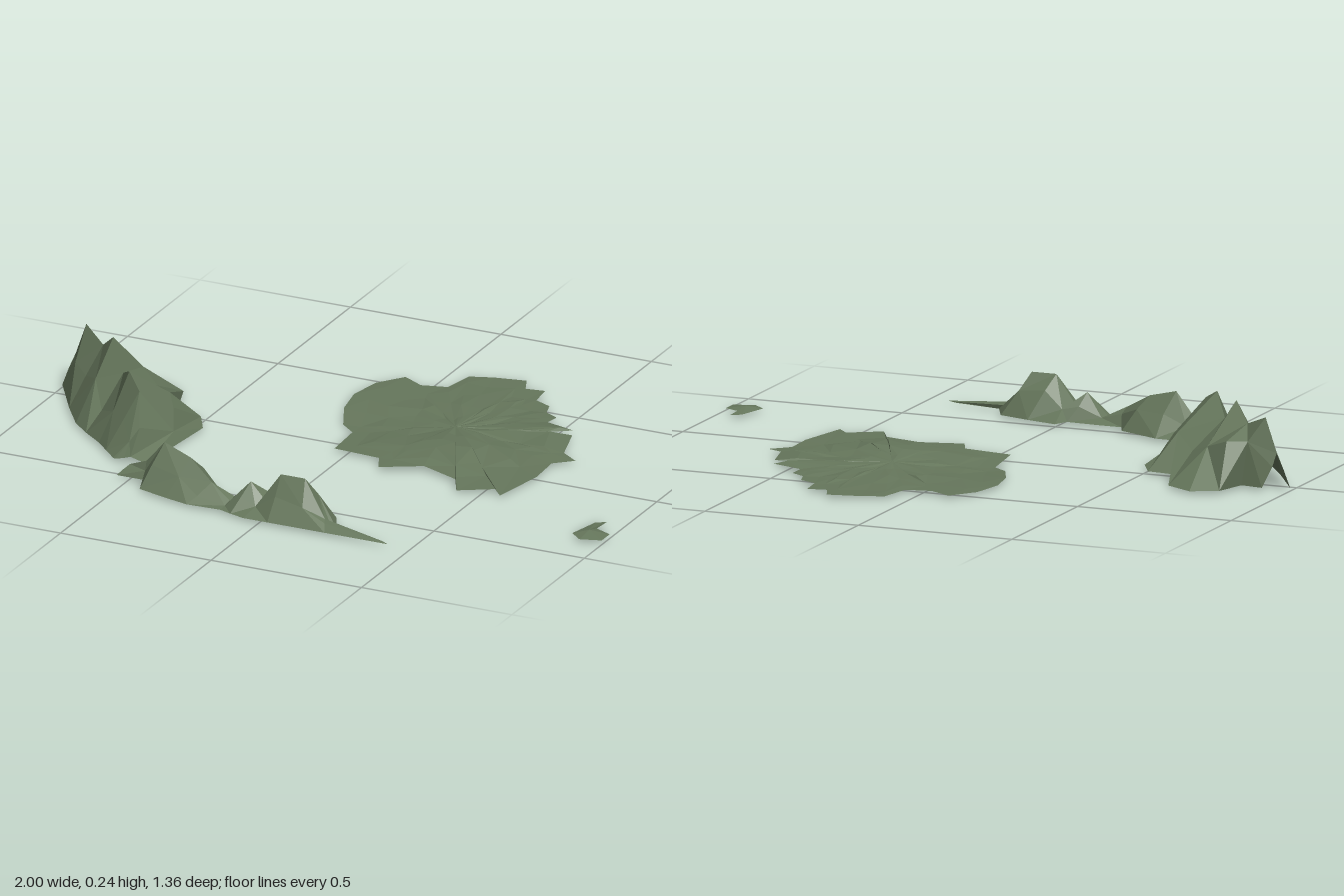
import * as THREE from 'three';

const SEA = 0.015; // shoreline height
const material = new THREE.MeshStandardMaterial({ color: 0x66775c, flatShading: true, side: THREE.DoubleSide });

// Seeded value in -1..1 for facet variation
const jitter = (n) => {
  const s = Math.sin(n * 12.9898) * 43758.5453;
  return 2 * (s - Math.floor(s)) - 1;
};

// Skins rows of [x, y, z] points into an upward-facing terrain sheet
function sheet(name, rows, closed = false) {
  const w = rows[0].length;
  const p = rows.flat();
  const index = [];
  const tri = (a, b, c) => {
    const [A, B, C] = [p[a], p[b], p[c]];
    const up = (B[2] - A[2]) * (C[0] - A[0]) - (B[0] - A[0]) * (C[2] - A[2]);
    if (Math.abs(up) < 1e-9) return;
    index.push(a, ...(up > 0 ? [b, c] : [c, b]));
  };
  for (let i = 0; i < rows.length - 1; i++) {
    for (let j = 0; j < (closed ? w : w - 1); j++) {
      const k = (j + 1) % w;
      const a = i * w + j, b = i * w + k, c = a + w, d = b + w - 0;
      if ((i + j) % 2) { tri(a, b, c); tri(b, d, c); }
      else { tri(a, b, d); tri(a, d, c); }
    }
  }
  const g = new THREE.BufferGeometry();
  g.setAttribute('position', new THREE.Float32BufferAttribute(p.flat(), 3));
  g.setIndex(index);
  g.computeVertexNormals();
  const mesh = new THREE.Mesh(g, material);
  mesh.name = name;
  return mesh;
}

// Ridge from stations: outer shore x,z | crest x,y,z | inner slope x,y,z | inner shore x,z
function ridge(name, stations) {
  return sheet(name, stations.map(([ox, oz, cx, cy, cz, mx, my, mz, ix, iz], i) => {
    const t = 0.5 + 0.12 * jitter(i + 3);
    const lerp = (a, b) => a + (b - a) * t;
    const foot = [lerp(ox, cx), lerp(SEA, cy) + 0.08 * (cy - SEA) * jitter(i + 20), lerp(oz, cz)];
    return [[ox, SEA, oz], foot, [cx, cy, cz], [mx, my, mz], [ix, SEA, iz]];
  }));
}

// Low island: the shoreline shrinks inward in rings, height given by a rule
function island(name, shore, [cx, cz], scales, height) {
  const rows = scales.map((s, r) => shore.map(([x, z], j) => {
    const k = r === 0 || s === 0 ? s : s * (1 + 0.07 * jitter(j + r * 40));
    const px = cx + (x - cx) * k, pz = cz + (z - cz) * k;
    return [px, height(px, pz, s, s === 0 ? 1 : j + r * 40), pz];
  }));
  return sheet(name, rows, true);
}

export function createModel() {
  const group = new THREE.Group();
  group.name = 'islandChain';

  // Tall ridge with spurs running inland
  group.add(ridge('tallRidge', [
    [-1, -.05, -.96, .12, -.06, -.95, .08, -.07, -.92, -.08],
    [-.95, .03, -.92, .225, -.05, -.87, .15, -.07, -.85, -.07],
    [-.9, .11, -.84, .19, 0, -.81, .15, -.09, -.82, -.17],
    [-.83, .21, -.78, .245, .055, -.73, .12, -.05, -.74, -.21],
    [-.77, .265, -.71, .17, .13, -.66, .09, 0, -.65, -.16],
    [-.7, .32, -.64, .225, .235, -.57, .12, .1, -.6, -.01],
    [-.655, .365, -.58, .19, .29, -.53, .1, .16, -.515, 0],
    [-.61, .41, -.55, .1, .35, -.5, .05, .22, -.47, .08],
    [-.6, .415, -.55, .03, .415, -.5, .015, .41, -.485, .25],
  ]));

  // Narrow ridge tapering to a flat spit
  group.add(ridge('lowRidge', [
    [-.54, .53, -.51, .045, .5, -.5, .035, .48, -.48, .43],
    [-.45, .53, -.45, .07, .51, -.44, .05, .47, -.45, .425],
    [-.43, .6, -.385, .145, .52, -.36, .08, .48, -.355, .43],
    [-.33, .63, -.29, .12, .54, -.26, .08, .51, -.22, .49],
    [-.25, .65, -.2, .07, .58, -.19, .05, .56, -.2, .535],
    [-.14, .645, -.13, .03, .6, -.12, .03, .57, -.12, .535],
    [-.1, .66, -.065, .1, .59, -.05, .06, .56, -.02, .54],
    [-.05, .675, -.02, .06, .6, 0, .05, .55, 0, .495],
    [.03, .675, .04, .145, .6, .06, .1, .56, .1, .52],
    [.14, .675, .12, .145, .6, .15, .09, .57, .2, .55],
    [.22, .675, .2, .04, .63, .21, .03, .62, .24, .63],
    [.43, .675, .42, .016, .67, .41, .016, .663, .39, .655],
  ]));

  // Broad flat island with a ragged shore, highest toward the east
  const bump = (x, z, u, v, r) => Math.exp(-((x - u) ** 2 + (z - v) ** 2) / (r * r));
  group.add(island('flatIsland', [
    [-.18, -.36], [-.16, -.47], [-.1, -.55], [-.03, -.51], [.05, -.53], [.07, -.635], [.14, -.66],
    [.24, -.68], [.265, -.62], [.325, -.63], [.335, -.55], [.39, -.525], [.405, -.475], [.45, -.45],
    [.445, -.4], [.545, -.37], [.48, -.315], [.56, -.33], [.595, -.2], [.65, -.165], [.595, -.115],
    [.6, 0], [.565, .18], [.53, .14], [.43, .2], [.39, .125], [.265, .08], [.14, .135],
    [.11, .07], [-.045, .055], [-.06, -.1], [-.11, -.14], [-.16, -.25],
  ], [.22, -.23], [1, .84, .64, .4, .2, 0], (x, z, s, n) => {
    const y = SEA + .026 * bump(x, z, .3, -.07, .16) + .018 * bump(x, z, .5, -.28, .13)
      + .01 * bump(x, z, .2, -.4, .15) - .013 * bump(x, z, -.08, -.1, .1) - .012 * bump(x, z, .42, -.2, .07);
    return Math.max(0, s === 1 ? SEA + (y - SEA) * .6 : y + .003 * jitter(n));
  }));

  // Tiny islet
  group.add(island('islet', [
    [.89, .355], [.915, .25], [.945, .23], [.94, .29], [.995, .315], [.995, .37], [.93, .39],
  ], [.935, .33], [1, 0], (x, z, s) => (s === 1 ? SEA : .025)));

  return group;
}
